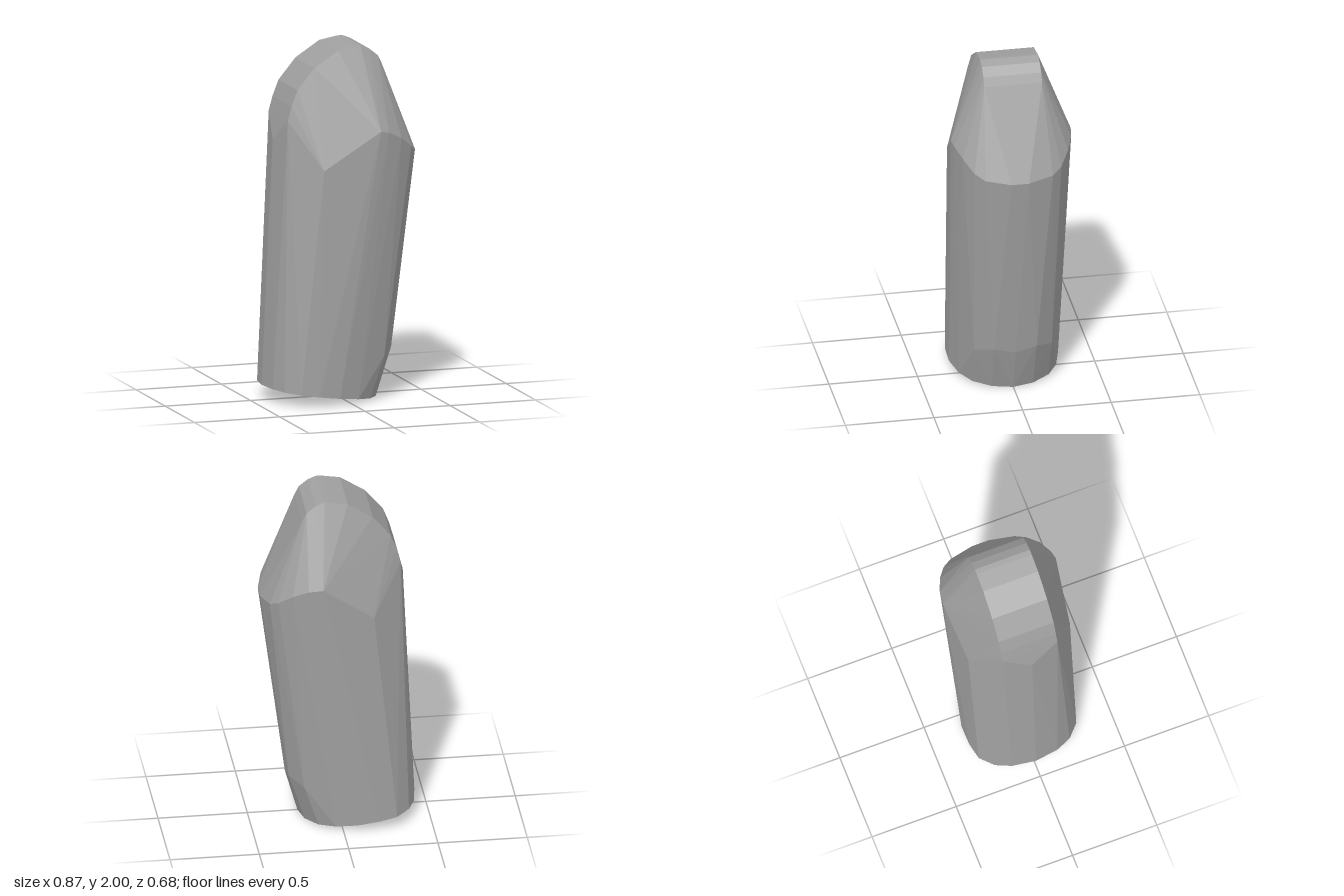
import * as THREE from 'three';
import { ConvexGeometry } from 'three/addons/geometries/ConvexGeometry.js';

export function createModel() {
  const group = new THREE.Group();
  const stone = new THREE.MeshStandardMaterial({ color: 0xa0a0a0 });
  stone.name = 'stone grey';
  const points = [];
  // Adds a point on the front and its mirror on the back
  const pair = (x, y, z) => {
    points.push(new THREE.Vector3(x, y, z));
    if (z > 0) points.push(new THREE.Vector3(x, y, -z));
  };

  // Tilted flat base, given as x and half depth
  const base = [[-0.435, 0], [-0.415, 0.135], [-0.375, 0.222], [-0.3, 0.29], [-0.2, 0.308],
    [-0.08, 0.308], [0.04, 0.275], [0.13, 0.215], [0.195, 0.115], [0.22, 0]];
  base.forEach(([x, z]) => pair(x, 0.085 - 0.13 * (x + 0.435), z));

  // Chamfer above the base on the left side
  [[0.29, 0.25, 0], [0.284, 0.28, 0.12], [0.21, 0.25, 0.22]].forEach(p => pair(...p));

  // Shoulder where the walls slope inward
  [[0.435, 1.38, 0.05], [0.4, 1.4, 0.19], [0.36, 1.43, 0.245], [0.285, 1.49, 0.297],
    [0.2, 1.53, 0.33], [-0.17, 1.33, 0.302], [-0.37, 1.47, 0]].forEach(p => pair(...p));
  points.push(new THREE.Vector3(0.15, 1.54, 0.34), new THREE.Vector3(0.12, 1.54, -0.342));

  // Rounded crest
  [[-0.337, 1.6], [-0.315, 1.68], [-0.28, 1.77], [-0.18, 1.89], [-0.04, 1.98], [0.06, 1.997],
    [0.09, 2], [0.14, 1.98], [0.19, 1.94], [0.215, 1.89]].forEach(([x, y]) => pair(x, y, 0.163));

  const mesh = new THREE.Mesh(new ConvexGeometry(points), stone);
  mesh.name = 'standingStone';
  group.add(mesh);
  return group;
}
